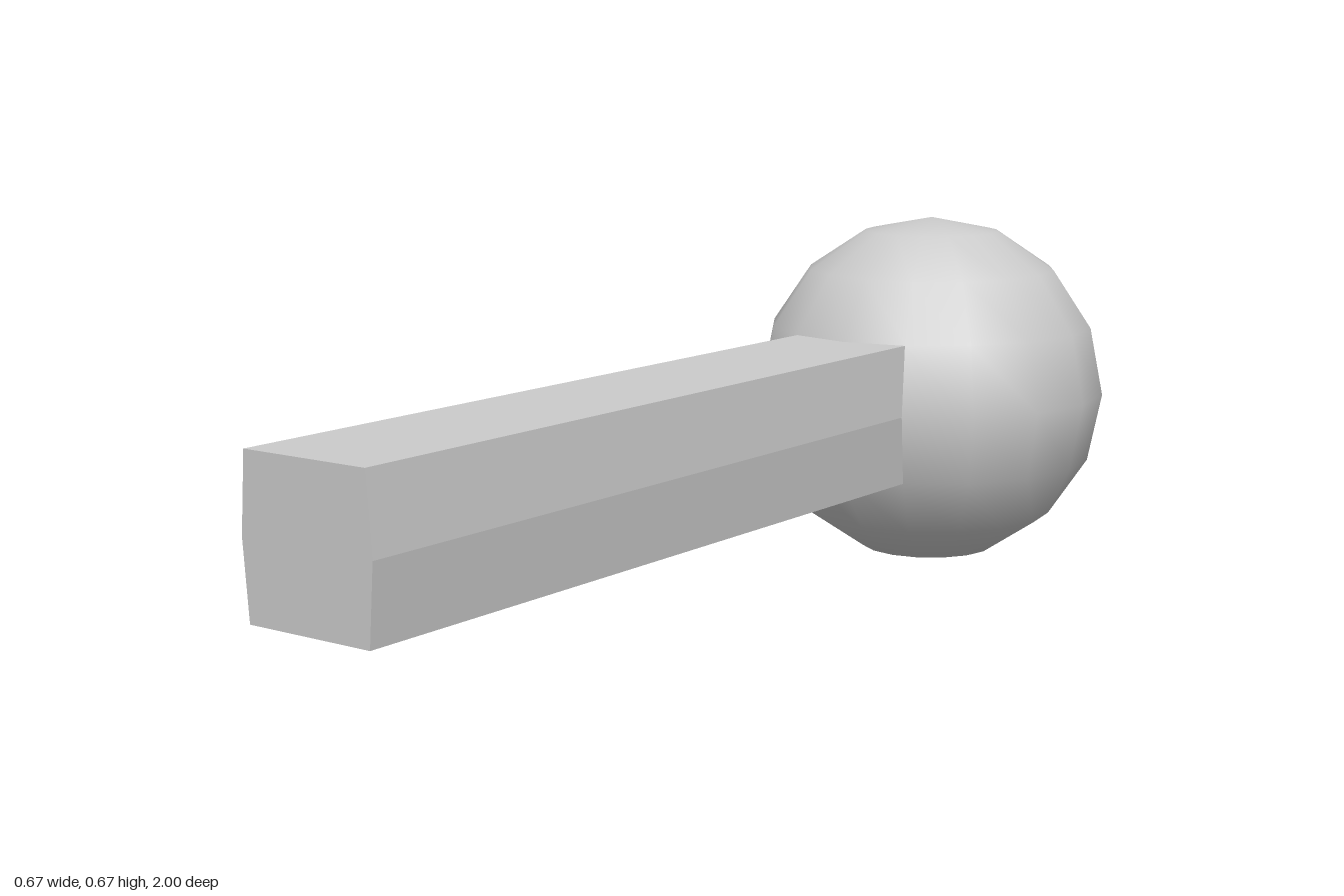
import * as THREE from 'three';

const R = 1 / 3;          // ball radius
const CZ = -2 / 3;        // ball centre in z
const STEP = Math.PI / 8; // angle of one ball facet

export function createModel() {
  const group = new THREE.Group();
  const material = new THREE.MeshStandardMaterial({ color: 0xcccccc });

  // Ball: 16 segments around, 8 rings, smooth shaded
  const ball = new THREE.Mesh(new THREE.SphereGeometry(R, 16, 8), material);
  ball.name = 'ball';
  ball.position.set(0, R, CZ);
  group.add(ball);

  // Arm: the four front facets of the ball drawn forward to a flat end
  const h = R * Math.sin(STEP);
  const narrow = h * Math.cos(STEP);
  const outline = [
    [-narrow, -h], [0, -h], [narrow, -h], [h, 0],
    [narrow, h], [0, h], [-narrow, h], [-h, 0],
  ].map(([x, y]) => new THREE.Vector2(x, y));
  const armGeometry = new THREE.ExtrudeGeometry(new THREE.Shape(outline), {
    depth: 1, bevelEnabled: false,
  });

  // Seat the rear end on the ball's surface and bring the front end to z = 1
  const p = armGeometry.attributes.position;
  for (let i = 0; i < p.count; i++) {
    const x = p.getX(i), y = p.getY(i);
    const rear = CZ + Math.sqrt(R * R - x * x - y * y);
    p.setZ(i, p.getZ(i) > 0.5 ? 1 : rear);
  }
  armGeometry.computeVertexNormals();

  const arm = new THREE.Mesh(armGeometry, material);
  arm.name = 'arm';
  arm.position.y = R;
  group.add(arm);

  return group;
}
